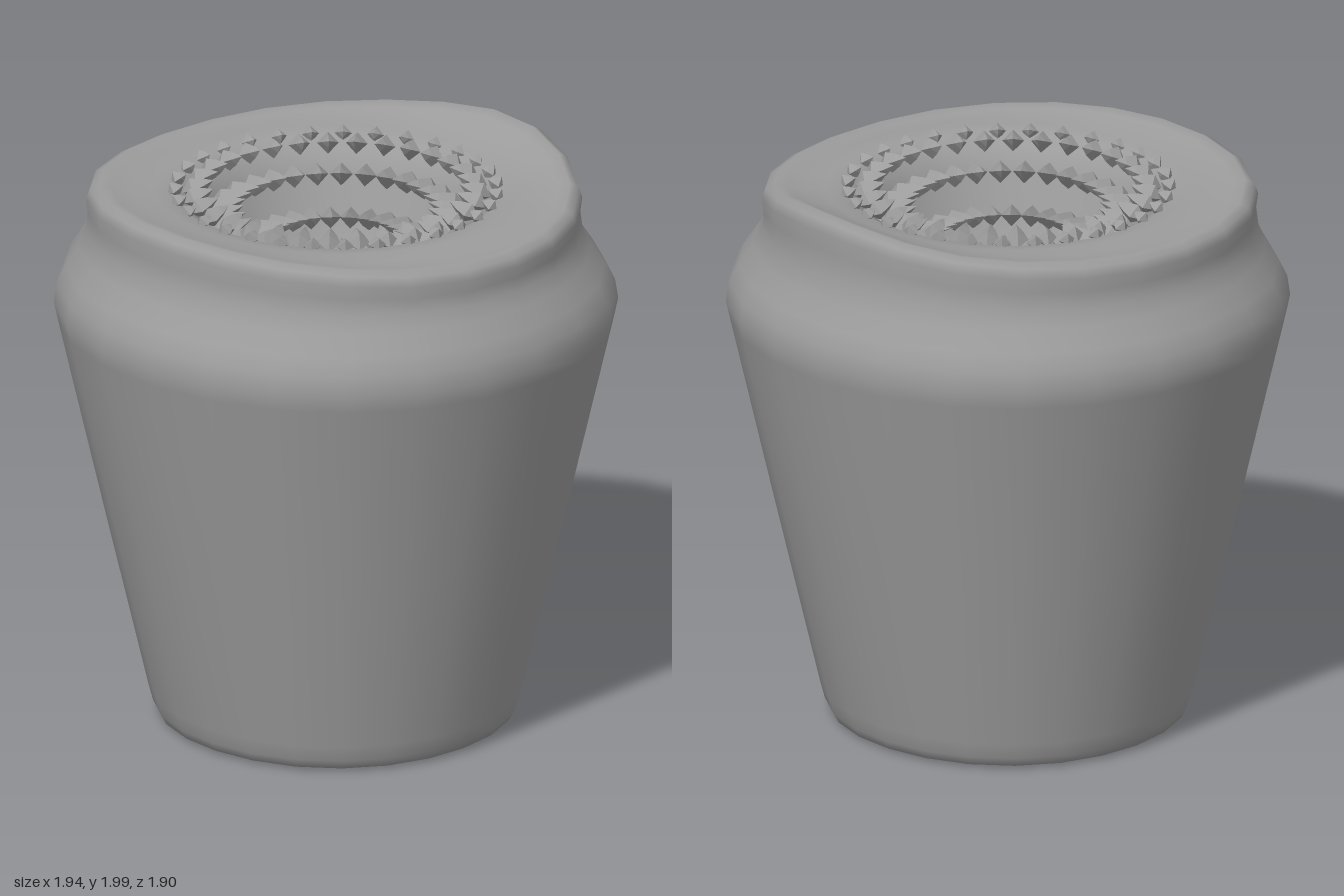
import * as THREE from 'three';
import { mergeVertices } from 'three/addons/utils/BufferGeometryUtils.js';

const material = new THREE.MeshStandardMaterial({ color: 0x9c9c9c });
const toothMaterial = new THREE.MeshStandardMaterial({ color: 0x9c9c9c, flatShading: true });

// Sunken mouth, as [radius, height] from the lip to the middle of the throat
const bowl = [[0.63, 1.915], [0.565, 1.907], [0.515, 1.88], [0.475, 1.8], [0.43, 1.67],
  [0.37, 1.54], [0.29, 1.46], [0.16, 1.42], [0, 1.41]];

function bowlHeight(r) {
  for (let i = 0; i < bowl.length - 1; i++) {
    const [r0, y0] = bowl[i], [r1, y1] = bowl[i + 1];
    if (r >= r1) return y0 + (y1 - y0) * (r0 - r) / (r0 - r1);
  }
  return bowl[0][1];
}

// Tapered body, swollen shoulder, uneven lip and mouth in one skin
function makeBody() {
  const outer = [[0, 0], [0.56, 0.005], [0.602, 0.012], [0.62, 0.045], [0.635, 0.1], [0.793, 0.77],
    [0.953, 1.45], [0.966, 1.51], [0.956, 1.58], [0.925, 1.64], [0.88, 1.71], [0.852, 1.77],
    [0.845, 1.83], [0.852, 1.88], [0.84, 1.915], [0.81, 1.93], [0.77, 1.922], [0.7, 1.915]];
  const points = [...outer, ...bowl].map(([r, y]) => new THREE.Vector2(r, y));
  let geo = new THREE.LatheGeometry(points, 24);
  const pos = geo.attributes.position;
  for (let i = 0; i < pos.count; i++) {
    const x = pos.getX(i), y = pos.getY(i), z = pos.getZ(i);
    const r = Math.hypot(x, z), a = Math.atan2(z, x);
    // Lip rises at front and back, dips at the sides, with a small peak behind
    const lip = THREE.MathUtils.smoothstep(y, 1.68, 1.92) * THREE.MathUtils.smoothstep(r, 0.6, 0.82);
    const peak = Math.max(0, Math.cos(a + Math.PI / 2 - 0.18)) ** 8;
    const lift = lip * (-0.024 * Math.cos(2 * a) + 0.047 * peak - 0.009 * Math.cos(a));
    // Faintly squared plan, with gentle folds around the neck
    const neck = THREE.MathUtils.smoothstep(y, 1.55, 1.75) * THREE.MathUtils.smoothstep(r, 0.6, 0.8);
    const plan = (1.012 - 0.008 * Math.cos(4 * a)) + neck * 0.008 * Math.sin(3 * a + 0.6);
    pos.setXYZ(i, x * plan, y + lift, z * plan * (1 - 0.015 * y));
  }
  geo.deleteAttribute('uv');
  geo.deleteAttribute('normal');
  geo = mergeVertices(geo, 1e-4);
  geo.computeVertexNormals();
  const mesh = new THREE.Mesh(geo, material);
  mesh.name = 'body';
  return mesh;
}

// Staggered rings of four-sided teeth leaning into the throat, ridge upwards
function makeTeeth() {
  const teeth = new THREE.Group();
  teeth.name = 'teeth';
  const count = 31;
  // [radius of root, length, half width, upward tilt]
  const rings = [[0.58, 0.06, 0.03, 0.5], [0.535, 0.12, 0.038, 0.42], [0.475, 0.17, 0.04, 0.38],
    [0.425, 0.23, 0.038, 0.36], [0.36, 0.28, 0.032, 0.36]];
  rings.forEach(([r, length, width, tilt], k) => {
    const profile = [[0, 0], [width, length * 0.36], [width * 0.6, length * 0.7], [0, length]];
    const geo = new THREE.LatheGeometry(profile.map(p => new THREE.Vector2(...p)), 4);
    geo.rotateX(tilt - Math.PI / 2);
    geo.translate(0, bowlHeight(r) - 0.005, r);
    const ring = new THREE.Group();
    ring.name = `toothRing${k + 1}`;
    for (let i = 0; i < count; i++) {
      const tooth = new THREE.Mesh(geo, toothMaterial);
      tooth.name = 'tooth';
      tooth.rotation.y = (i + (k % 2) * 0.5) / count * Math.PI * 2;
      ring.add(tooth);
    }
    teeth.add(ring);
  });
  return teeth;
}

export function createModel() {
  const model = new THREE.Group();
  model.name = 'toothedPot';
  model.add(makeBody(), makeTeeth());
  return model;
}
